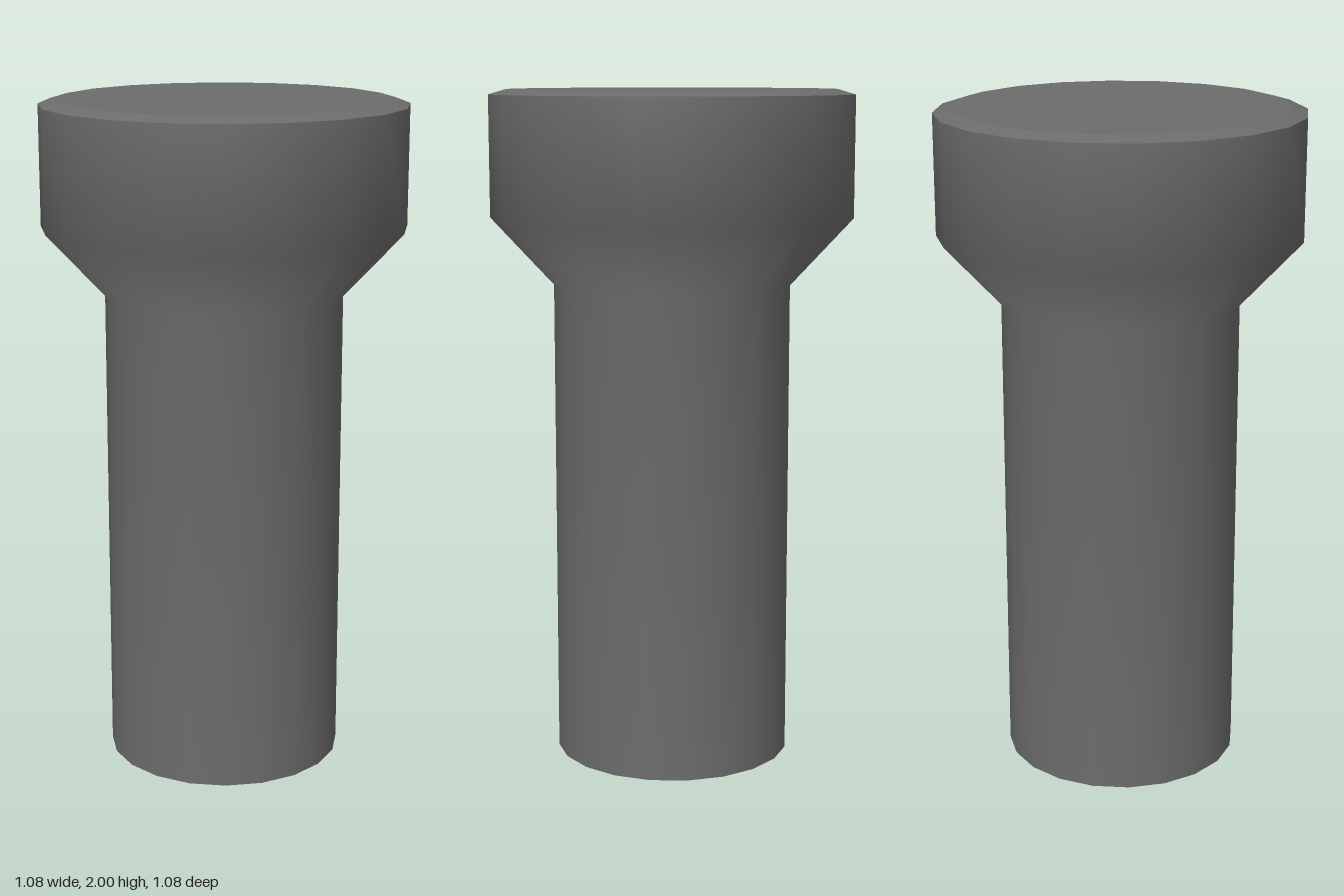
import * as THREE from 'three';

const SIDES = 20;

export function createModel() {
  const group = new THREE.Group();
  const material = new THREE.MeshStandardMaterial({ color: 0x6c6c6c, side: THREE.DoubleSide });

  // Each part is a turned profile of [radius, height], listed from bottom to top
  const turned = (name, profile) => {
    const points = profile.map(([r, y]) => new THREE.Vector2(r, y));
    const mesh = new THREE.Mesh(new THREE.LatheGeometry(points, SIDES), material);
    mesh.name = name;
    group.add(mesh);
  };

  // Hollow shaft, open at the bottom, flowing smoothly into the wider head
  turned('shaftAndHead', [[0.353, 0], [0.353, 1.43], [0.538, 1.63], [0.538, 1.985]]);
  // Shallow bevel around the top edge
  turned('topBevel', [[0.538, 1.985], [0.487, 2]]);
  // Flat lid
  turned('topCap', [[0.487, 2], [0, 2]]);

  return group;
}
